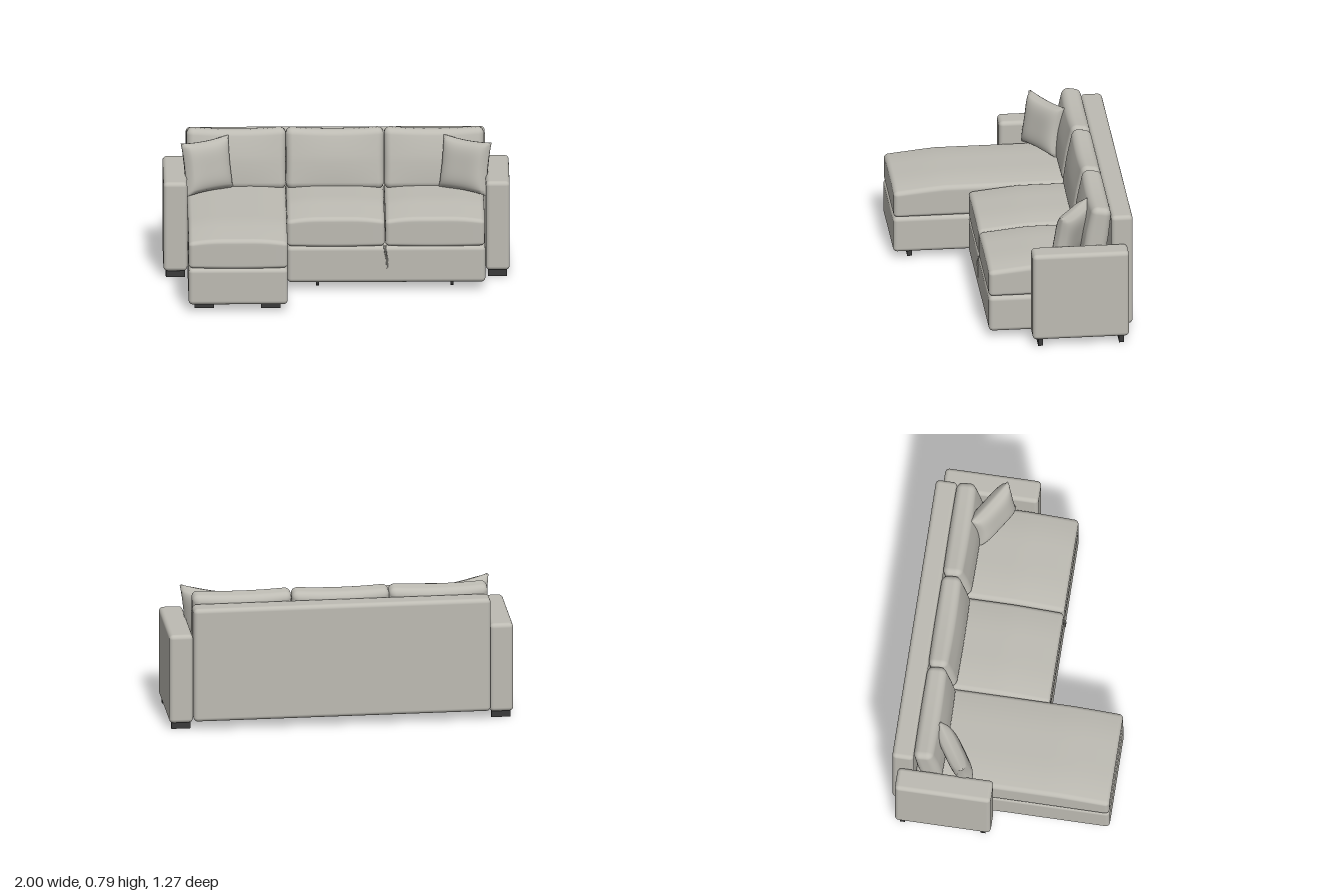
import * as THREE from 'three';
import { mergeVertices } from 'three/addons/utils/BufferGeometryUtils.js';
import { RoundedBoxGeometry } from 'three/addons/geometries/RoundedBoxGeometry.js';

const fabric = new THREE.MeshStandardMaterial({ color: 0xbdbbb3 });
fabric.name = 'greyFabric';
const dark = new THREE.MeshStandardMaterial({ color: 0x3a3a3a });
dark.name = 'darkFeet';

// Move every vertex by a rule, then weld and smooth
function reshape(geometry, rule) {
  geometry.deleteAttribute('uv');
  geometry.deleteAttribute('normal');
  const pos = geometry.attributes.position;
  const p = new THREE.Vector3();
  for (let i = 0; i < pos.count; i++) {
    p.fromBufferAttribute(pos, i);
    rule(p);
    pos.setXYZ(i, p.x, p.y, p.z);
  }
  const welded = mergeVertices(geometry, 1e-5);
  welded.computeVertexNormals();
  return welded;
}

// Rounded box with subdivided faces, so that it can be bent by a rule
function softBox(w, h, d, r, rule) {
  const n = 20;
  const half = [w / 2, h / 2, d / 2];
  const flat = 1 - 8 / n; // share of the segments spent on the flat part
  const inner = new THREE.Vector3();
  const offset = new THREE.Vector3();
  return reshape(new THREE.BoxGeometry(2, 2, 2, n, n, n), (p) => {
    p.toArray().forEach((u, k) => {
      const a = Math.abs(u);
      const s = Math.sign(u);
      const core = half[k] - r;
      inner.setComponent(k, s * core * Math.min(a / flat, 1));
      const t = Math.max(0, (a - flat) / (1 - flat));
      offset.setComponent(k, s * Math.tan((t * Math.PI) / 4));
    });
    p.copy(inner).addScaledVector(offset.normalize(), r);
    rule(p, p.x / half[0], p.y / half[1], p.z / half[2]);
  });
}

export function createModel() {
  const model = new THREE.Group();
  model.name = 'sectionalSofa';

  const add = (name, geometry, material, x, y, z) => {
    const mesh = new THREE.Mesh(geometry, material);
    mesh.name = name;
    mesh.position.set(x, y, z);
    model.add(mesh);
    return mesh;
  };
  // Firm upholstered block given by its limits
  const block = (name, x0, x1, y0, y1, z0, z1, r = 0.025) =>
    add(name, new RoundedBoxGeometry(x1 - x0, y1 - y0, z1 - z0, 4, r), fabric,
      (x0 + x1) / 2, (y0 + y1) / 2, (z0 + z1) / 2);

  // Frame
  block('backrest', -0.865, 0.862, 0.055, 0.74, -0.635, -0.51);
  block('chaiseBase', -0.862, -0.29, 0.042, 0.26, -0.515, 0.635);
  block('sofaBase', -0.287, 0.857, 0.042, 0.26, -0.515, 0.2);
  block('rightArm', -1, -0.862, 0.04, 0.575, -0.6, -0.04);
  block('leftArm', 0.862, 1, 0.04, 0.575, -0.6, -0.04);

  // Seat cushions: crowned across, sloping down towards the front edge
  const bays = [
    { side: 'chaise', x0: -0.862, x1: -0.29, front: 0.632 },
    { side: 'middle', x0: -0.289, x1: 0.275, front: 0.2 },
    { side: 'left', x0: 0.279, x1: 0.853, front: 0.2 },
  ];
  for (const { side, x0, x1, front } of bays) {
    const depth = front + 0.5;
    const seat = softBox(x1 - x0, 0.2, depth, 0.026, (p, u, v) => {
      const slope = Math.max(0, 1 - (depth / 2 - p.z) / 0.28);
      const crown = Math.max(0, Math.abs(u) - 0.3) / 0.7;
      const top = (v + 1) / 2;
      p.y -= top * (0.03 * slope + 0.018 * crown * crown);
      p.y -= (1 - top) * 0.006 * (1 - u * u);
    });
    add(side + 'SeatCushion', seat, fabric, (x0 + x1) / 2, 0.362, front - depth / 2);

    // Back cushion: full belly, thinner at the top, leaning back
    const back = softBox(x1 - x0 + 0.004, 0.36, 0.125, 0.04, (p, u, v, w) => {
      const belly = (1 - u * u) * (1 - v * v);
      p.z += w * 0.014 * belly;
      p.z *= 1 - 0.1 * Math.max(0, v);
      p.y -= Math.max(0, v) * 0.012 * (1 - u * u);
      p.x *= 1 - 0.008 * (1 - v * v);
    });
    add(side + 'BackCushion', back, fabric, (x0 + x1) / 2, 0.61, -0.431).rotation.x = -0.16;
  }

  // Throw pillows: pinched corners, full middle
  const pillow = reshape(new THREE.BoxGeometry(2, 2, 2, 20, 20, 2), (p) => {
    const { x: u, y: v, z: w } = p;
    const full = Math.sqrt(Math.max(0, (1 - u ** 4) * (1 - v ** 4)));
    p.x = 0.16 * u * (1 - 0.07 * (1 - v * v));
    p.y = 0.155 * v * (1 - 0.07 * (1 - u * u));
    p.z = w * (0.008 + 0.05 * full);
  });
  for (const s of [-1, 1]) {
    const mesh = add(s < 0 ? 'rightPillow' : 'leftPillow', pillow, fabric, s * 0.745, 0.605, -0.285);
    mesh.rotation.set(-0.17, -s * 0.57, 0, 'YXZ');
  }

  // Block feet below the arms and the chaise front
  const foot = new THREE.BoxGeometry(0.112, 0.045, 0.027);
  const feet = [[-0.93, -0.085], [-0.93, -0.555], [0.93, -0.085], [0.93, -0.555], [-0.772, 0.537], [-0.387, 0.537]];
  for (const [x, z] of feet) add('foot', foot, dark, x, 0.0225, z);

  // Casters below the pull-out base
  const wheel = new THREE.CylinderGeometry(0.027, 0.027, 0.018, 20).rotateZ(Math.PI / 2);
  const mount = new THREE.BoxGeometry(0.028, 0.012, 0.05);
  for (const x of [-0.112, 0.665]) {
    for (const z of [0.117, -0.415]) {
      add('casterWheel', wheel, dark, x, 0.032, z);
      add('casterMount', mount, dark, x, 0.037, z);
    }
  }

  // Pull strap hanging at the front of the sofa base
  const path = new THREE.CatmullRomCurve3([
    [0.272, 0.265, 0.19], [0.274, 0.235, 0.206], [0.284, 0.19, 0.204], [0.289, 0.13, 0.204],
    [0.291, 0.18, 0.207], [0.284, 0.235, 0.209], [0.284, 0.265, 0.19],
  ].map((c) => new THREE.Vector3(...c)));
  add('pullStrap', new THREE.TubeGeometry(path, 40, 0.003, 6), fabric, 0, 0, 0);

  return model;
}
